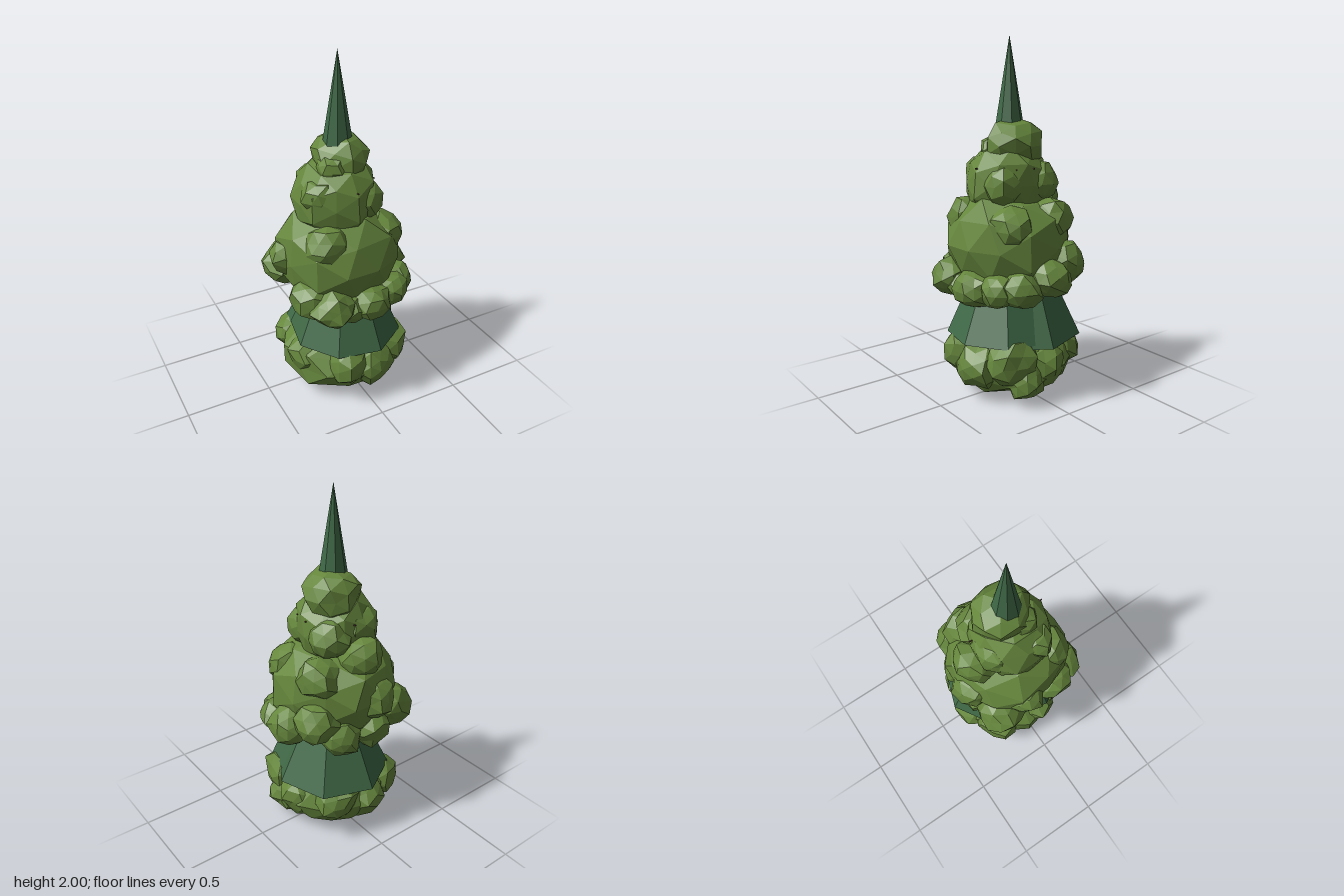
import * as THREE from 'three';

const leaf = new THREE.MeshStandardMaterial({ color: 0x66873d });
leaf.name = 'leaf green';
const needle = new THREE.MeshStandardMaterial({ color: 0x3f6846 });
needle.name = 'needle green';
const bark = new THREE.MeshStandardMaterial({ color: 0x54382f });
bark.name = 'bark brown';
for (const m of [leaf, needle, bark]) m.flatShading = true;

// Repeatable noise in -1..1 from a direction, so shared corners move together
function noise(x, y, z, seed) {
  const q = (v) => Math.round(v * 1000) / 1000 + 0;
  const s = Math.sin(q(x) * 12.9898 + q(y) * 78.233 + q(z) * 37.719 + seed * 4.137) * 43758.5453;
  return (s - Math.floor(s)) * 2 - 1;
}

// Lumpy faceted clump; boxy below 1 fills out its shoulders
function clump(name, [x, y, z], [rx, ry, rz], seed, jitter = 0.1, boxy = 1) {
  const geo = new THREE.IcosahedronGeometry(1, 1);
  const p = geo.attributes.position;
  const v = new THREE.Vector3();
  const up = new THREE.Vector3(0, 1, 0);
  for (let i = 0; i < p.count; i++) {
    v.fromBufferAttribute(p, i);
    const k = 1 + jitter * noise(v.x, v.y, v.z, seed);
    const h = Math.hypot(v.x, v.z);
    const wide = h > 0.001 ? Math.pow(h, boxy) / h : 1;
    v.set(v.x * wide * k, v.y * k, v.z * wide * k).applyAxisAngle(up, seed * 0.9);
    p.setXYZ(i, x + v.x * rx, Math.max(0.005, y + v.y * ry), z + v.z * rz);
  }
  geo.computeVertexNormals();
  const mesh = new THREE.Mesh(geo, leaf);
  mesh.name = name;
  return mesh;
}

function cone(name, mat, r, h, sides, [x, y, z], turn = 0) {
  const mesh = new THREE.Mesh(new THREE.ConeGeometry(r, h, sides), mat);
  mesh.position.set(x, y + h / 2, z);
  mesh.rotation.y = turn;
  mesh.name = name;
  return mesh;
}

export function createModel() {
  const tree = new THREE.Group();
  tree.name = 'tree';

  // Main foliage tiers, bottom to top
  tree.add(
    clump('lowerFoliage', [-0.02, 0.19, 0], [0.355, 0.185, 0.355], 1, 0.06, 0.6),
    clump('middleFoliage', [-0.03, 0.86, 0], [0.355, 0.3, 0.355], 2, 0.06, 0.75),
    clump('upperFoliage', [-0.05, 1.2, 0.01], [0.235, 0.225, 0.235], 3, 0.07, 0.75),
    clump('topFoliage', [-0.005, 1.41, -0.015], [0.155, 0.14, 0.17], 4, 0.1, 0.8),
  );

  // Small clumps around the lower tier: x, y, z, radius
  const lowerClumps = [
    [0.2, 0.24, 0.16, 0.14], [0.23, 0.2, -0.03, 0.13], [0.13, 0.23, -0.23, 0.13],
    [-0.1, 0.24, 0.25, 0.13], [0.05, 0.2, 0.27, 0.13], [-0.25, 0.24, 0.06, 0.13],
    [-0.22, 0.22, -0.18, 0.13], [-0.05, 0.2, -0.25, 0.13], [0.24, 0.13, 0.1, 0.11],
  ];
  lowerClumps.forEach(([x, y, z, r], i) =>
    tree.add(clump('lowerClump', [x, y, z], [r, r, r], 10 + i, 0.14)));

  // Small clumps around the middle tier: x, y, z, radius
  const middleClumps = [
    [0.3, 0.7, -0.03, 0.12], [0.25, 0.66, 0.14, 0.12], [0.22, 0.76, -0.18, 0.13],
    [0.1, 0.66, -0.24, 0.12], [-0.09, 0.86, -0.27, 0.13], [-0.05, 1.1, -0.21, 0.13],
    [-0.27, 0.72, -0.2, 0.14], [-0.3, 0.85, -0.06, 0.12], [-0.27, 0.68, 0.15, 0.13],
    [-0.21, 0.66, 0.28, 0.12], [0.03, 0.64, 0.28, 0.12], [0.18, 0.65, 0.23, 0.11],
    [-0.1, 0.64, -0.24, 0.12], [-0.18, 1.0, 0.17, 0.13], [0.16, 0.98, 0.14, 0.13],
    [0.17, 1.0, -0.13, 0.13], [-0.09, 0.62, 0.26, 0.1],
  ];
  middleClumps.forEach(([x, y, z, r], i) =>
    tree.add(clump('middleClump', [x, y, z], [r, r * 0.9, r], 30 + i, 0.13)));

  // Small clumps on the upper tiers: x, y, z, radius
  const upperClumps = [
    [-0.17, 1.24, 0.08, 0.11], [0.06, 1.2, 0.11, 0.12], [-0.1, 1.24, -0.12, 0.12],
    [0.07, 1.2, -0.11, 0.12], [-0.08, 1.38, 0.05, 0.09], [0.02, 1.45, -0.01, 0.085],
  ];
  upperClumps.forEach(([x, y, z, r], i) =>
    tree.add(clump('upperClump', [x, y, z], [r, r, r], 60 + i, 0.12)));

  // Overlapping needle skirts between the lower and middle tiers
  tree.add(
    cone('needleSkirt', needle, 0.33, 0.75, 8, [-0.01, 0.34, 0.05], 0.2),
    cone('needleSkirt', needle, 0.34, 0.72, 7, [0.02, 0.32, -0.05], 0.55),
  );

  // Pointed crown
  tree.add(cone('crown', needle, 0.095, 0.58, 8, [-0.028, 1.42, 0], 0.3));

  // Trunk showing underneath
  const trunk = new THREE.Mesh(new THREE.CylinderGeometry(0.04, 0.075, 1.4, 8), bark);
  trunk.position.set(-0.025, 0.7, 0);
  trunk.name = 'trunk';
  tree.add(trunk);

  // Twig tips poking through the upper foliage: x, z
  const twigs = [[-0.01, -0.21], [-0.19, -0.12], [0.165, -0.015], [0.145, 0.085], [-0.025, 0.225], [-0.235, 0.08]];
  for (const [x, z] of twigs) {
    const twig = new THREE.Mesh(new THREE.CylinderGeometry(0.004, 0.009, 0.24, 5), bark);
    const dir = new THREE.Vector3(x + 0.03, 0.04, z).normalize();
    twig.quaternion.setFromUnitVectors(new THREE.Vector3(0, 1, 0), dir);
    twig.position.set(x, 1.29, z).addScaledVector(dir, -0.11);
    twig.name = 'twig';
    tree.add(twig);
  }
  return tree;
}
